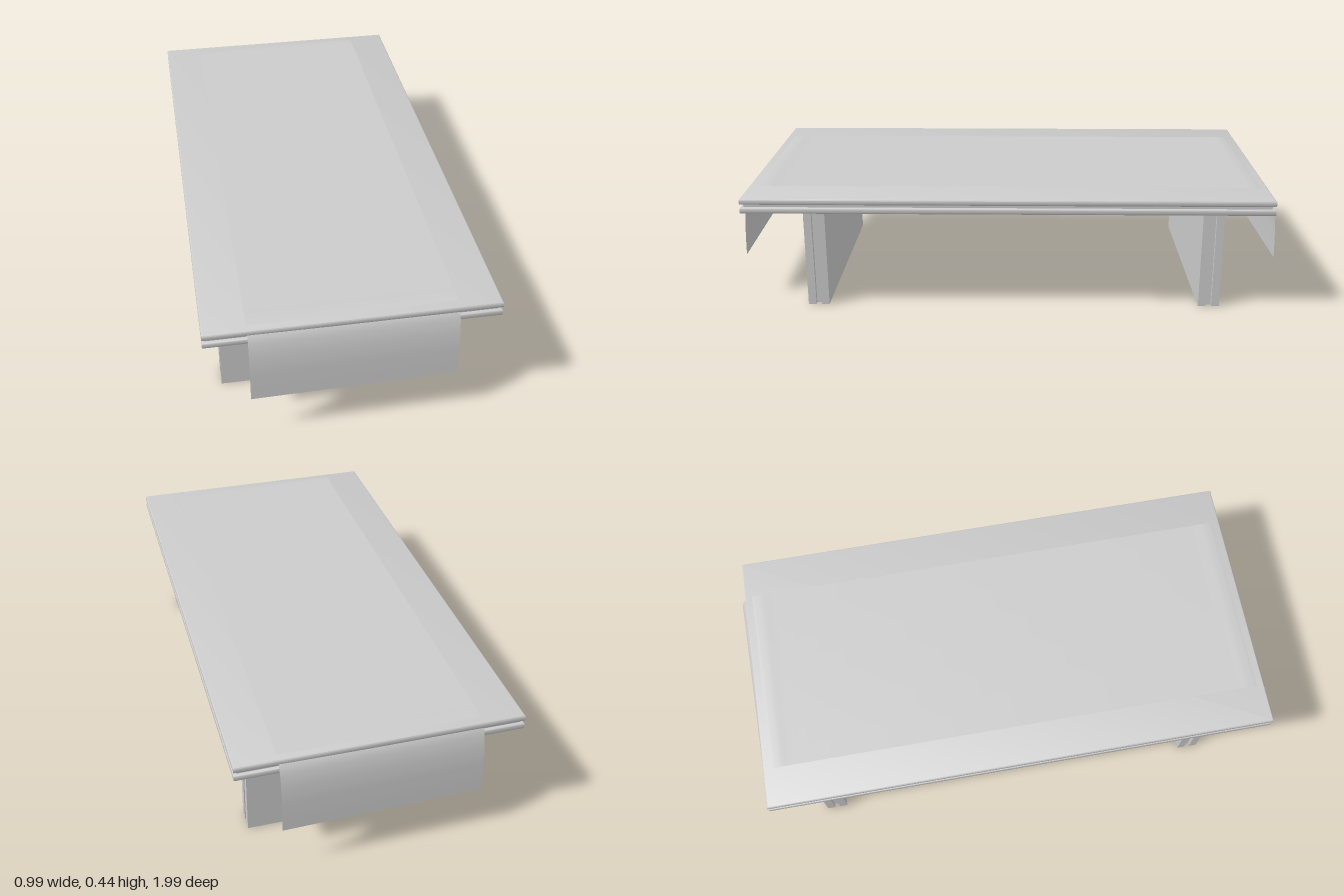
import * as THREE from 'three';
import { toCreasedNormals } from 'three/addons/utils/BufferGeometryUtils.js';

const material = new THREE.MeshStandardMaterial({ color: 0xcccccc });
const clothMaterial = new THREE.MeshStandardMaterial({ color: 0xcccccc, side: THREE.DoubleSide });

// Rectangular slab lofted through [inset, y] rings, capped at both ends
function slabGeometry(halfX, halfZ, rings) {
  const positions = [], index = [];
  for (const [inset, y] of rings) {
    const x = halfX - inset, z = halfZ - inset;
    positions.push(-x, y, z, x, y, z, x, y, -z, -x, y, -z);
  }
  for (let r = 0; r < rings.length - 1; r++) {
    for (let i = 0; i < 4; i++) {
      const a = r * 4 + i, b = r * 4 + (i + 1) % 4;
      index.push(a, b, b + 4, a, b + 4, a + 4);
    }
  }
  const t = (rings.length - 1) * 4;
  index.push(0, 2, 1, 0, 3, 2, t, t + 1, t + 2, t, t + 2, t + 3);
  const geometry = new THREE.BufferGeometry();
  geometry.setAttribute('position', new THREE.Float32BufferAttribute(positions, 3));
  geometry.setIndex(index);
  return toCreasedNormals(geometry, 0.9);
}

// Leg panel: plan outline with a groove in each end, extruded upwards
function legGeometry(height) {
  const x = 0.429, d = 0.039, g = 0.01, depth = 0.015;
  const outline = [
    [-x, -d], [x, -d], [x, -g], [x - depth, -g], [x - depth, g], [x, g],
    [x, d], [-x, d], [-x, g], [-x + depth, g], [-x + depth, -g], [-x, -g],
  ];
  const shape = new THREE.Shape(outline.map(([px, py]) => new THREE.Vector2(px, py)));
  const geometry = new THREE.ExtrudeGeometry(shape, { depth: height, bevelEnabled: false });
  return geometry.rotateX(-Math.PI / 2);
}

// Cloth draped along the table: a sheet bent along a side profile, slightly askew
function runnerGeometry() {
  const drop = [
    [0.988, 0.168], [0.986, 0.24], [0.982, 0.31], [0.972, 0.37],
    [0.957, 0.41], [0.935, 0.433], [0.9, 0.44], [0.84, 0.44],
  ];
  const profile = [...drop, [0, 0.44], ...drop.map(([z, y]) => [-z, y]).reverse()];
  const curve = new THREE.CatmullRomCurve3(
    profile.map(([z, y]) => new THREE.Vector3(0, y, z)), false, 'centripetal');
  const rows = 128, columns = 10;
  const geometry = new THREE.PlaneGeometry(0.702, 1, columns, rows);
  const position = geometry.attributes.position;
  for (let r = 0; r <= rows; r++) {
    const p = curve.getPoint(1 - r / rows);
    const skew = THREE.MathUtils.smoothstep(Math.abs(p.z), 0.85, 0.98);
    for (let c = 0; c <= columns; c++) {
      const i = r * (columns + 1) + c;
      const x = position.getX(i);
      position.setXYZ(i, x, p.y, p.z - skew * x * (p.z > 0 ? 0.014 : 0.02));
    }
  }
  geometry.computeVertexNormals();
  return geometry;
}

export function createModel() {
  const group = new THREE.Group();
  const add = (name, geometry, mat = material) => {
    const mesh = new THREE.Mesh(geometry, mat);
    mesh.name = name;
    group.add(mesh);
    return mesh;
  };

  // Table top: two rounded boards with a recessed strip between them
  add('tableTop', slabGeometry(0.497, 0.955, [
    [0.005, 0.382], [0.0015, 0.3835], [0, 0.387], [0, 0.399], [0.0015, 0.4025], [0.005, 0.404],
    [0.012, 0.404], [0.012, 0.415],
    [0.005, 0.415], [0.0015, 0.4165], [0, 0.42], [0, 0.432], [0.0015, 0.4355], [0.005, 0.437],
  ]));

  // Two grooved panel legs
  add('frontLeg', legGeometry(0.383)).position.set(-0.003, 0, 0.706);
  add('backLeg', legGeometry(0.383)).position.set(-0.003, 0, -0.75);

  // Cloth runner hanging over both ends
  add('runner', runnerGeometry(), clothMaterial);

  return group;
}
